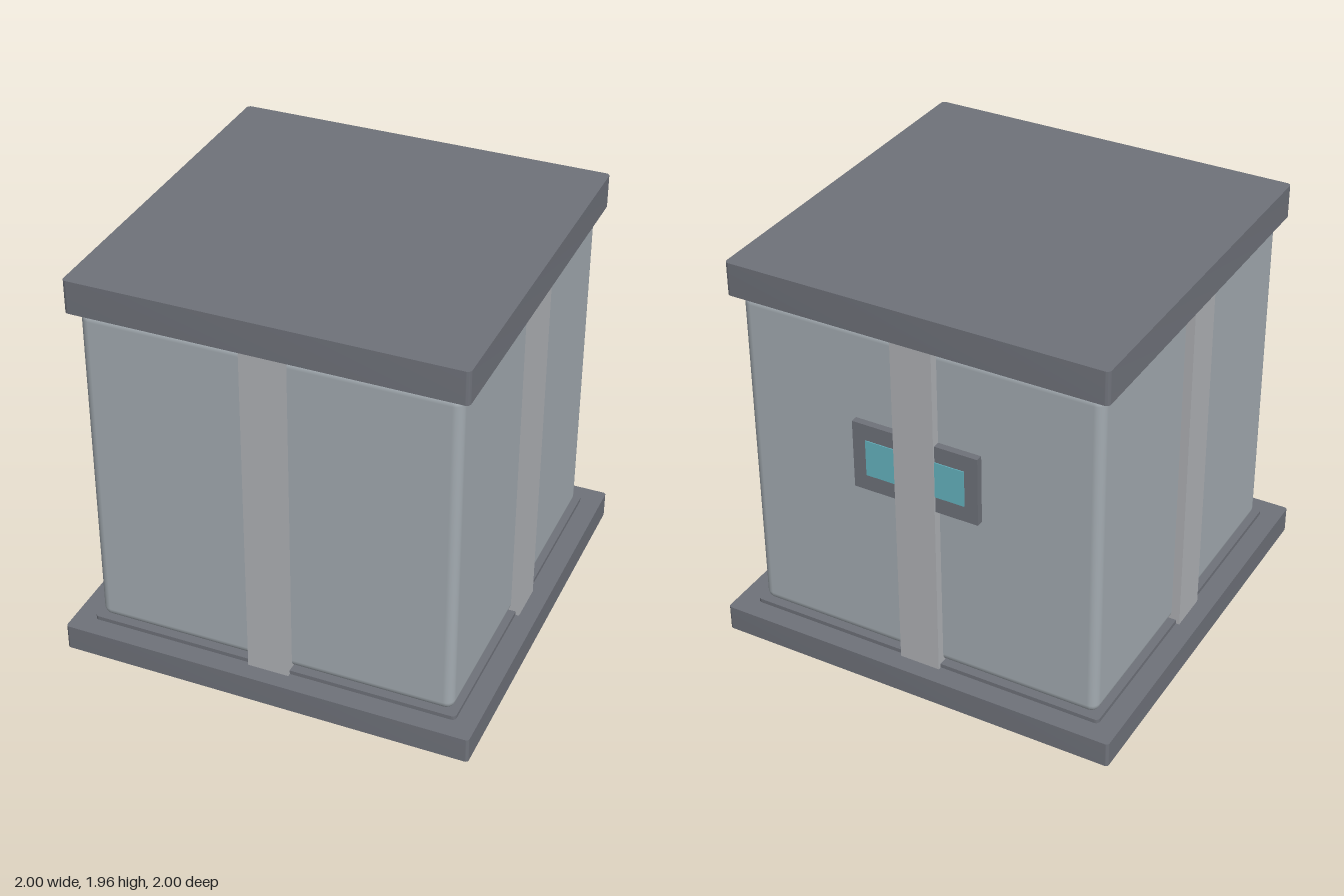
import * as THREE from 'three';
import { RoundedBoxGeometry } from 'three/addons/geometries/RoundedBoxGeometry.js';
import { toCreasedNormals } from 'three/addons/utils/BufferGeometryUtils.js';

const mat = (color) => new THREE.MeshStandardMaterial({ color });

// Square slab with slightly rounded upright corners, standing from y0 to y1
function slab(half, radius, y0, y1) {
  const s = new THREE.Shape();
  const c = half - radius;
  s.absarc(c, c, radius, 0, Math.PI / 2);
  s.absarc(-c, c, radius, Math.PI / 2, Math.PI);
  s.absarc(-c, -c, radius, Math.PI, Math.PI * 1.5);
  s.absarc(c, -c, radius, Math.PI * 1.5, Math.PI * 2);
  const g = new THREE.ExtrudeGeometry(s, { depth: y1 - y0, bevelEnabled: false, curveSegments: 4 });
  g.rotateX(-Math.PI / 2).translate(0, y0, 0);
  return toCreasedNormals(g, 0.6);
}

export function createModel() {
  const model = new THREE.Group();
  model.name = 'storageCrate';
  const dark = mat(0x6f727a);
  const shell = mat(0xa3abb1);
  const strapMat = mat(0xb0b2b6);
  const glass = mat(0x66b4c0);

  const add = (name, geometry, material, x = 0, y = 0, z = 0, parent = model) => {
    const m = new THREE.Mesh(geometry, material);
    m.name = name;
    m.position.set(x, y, z);
    parent.add(m);
    return m;
  };

  // Base, low plinth and lid
  add('base', slab(1, 0.015, 0, 0.125), dark);
  add('plinth', slab(0.9, 0.02, 0.125, 0.145), dark);
  add('lid', slab(0.917, 0.02, 1.8, 1.96), dark);

  // Rounded body
  add('body', new RoundedBoxGeometry(1.75, 1.655, 1.75, 3, 0.045), shell, 0, 0.9675, 0);

  // One upright strap in the middle of each side
  const strapGeo = new THREE.BoxGeometry(0.2, 1.675, 0.067);
  for (let i = 0; i < 4; i++) {
    const side = new THREE.Group();
    side.name = 'strapSide' + (i + 1);
    side.rotation.y = (i * Math.PI) / 2;
    add('strap', strapGeo, strapMat, 0, 0.9625, 0.8835, side);
    model.add(side);
  }

  // Display panel behind the rear strap
  const panel = new THREE.Group();
  panel.name = 'displayPanel';
  panel.position.set(0, 1.17, 0);
  add('panelFrame', new THREE.BoxGeometry(0.62, 0.34, 0.037), dark, 0, 0, -0.8905, panel);
  add('panelScreen', new THREE.BoxGeometry(0.49, 0.18, 0.02), glass, 0, 0, -0.903, panel);
  model.add(panel);

  return model;
}
